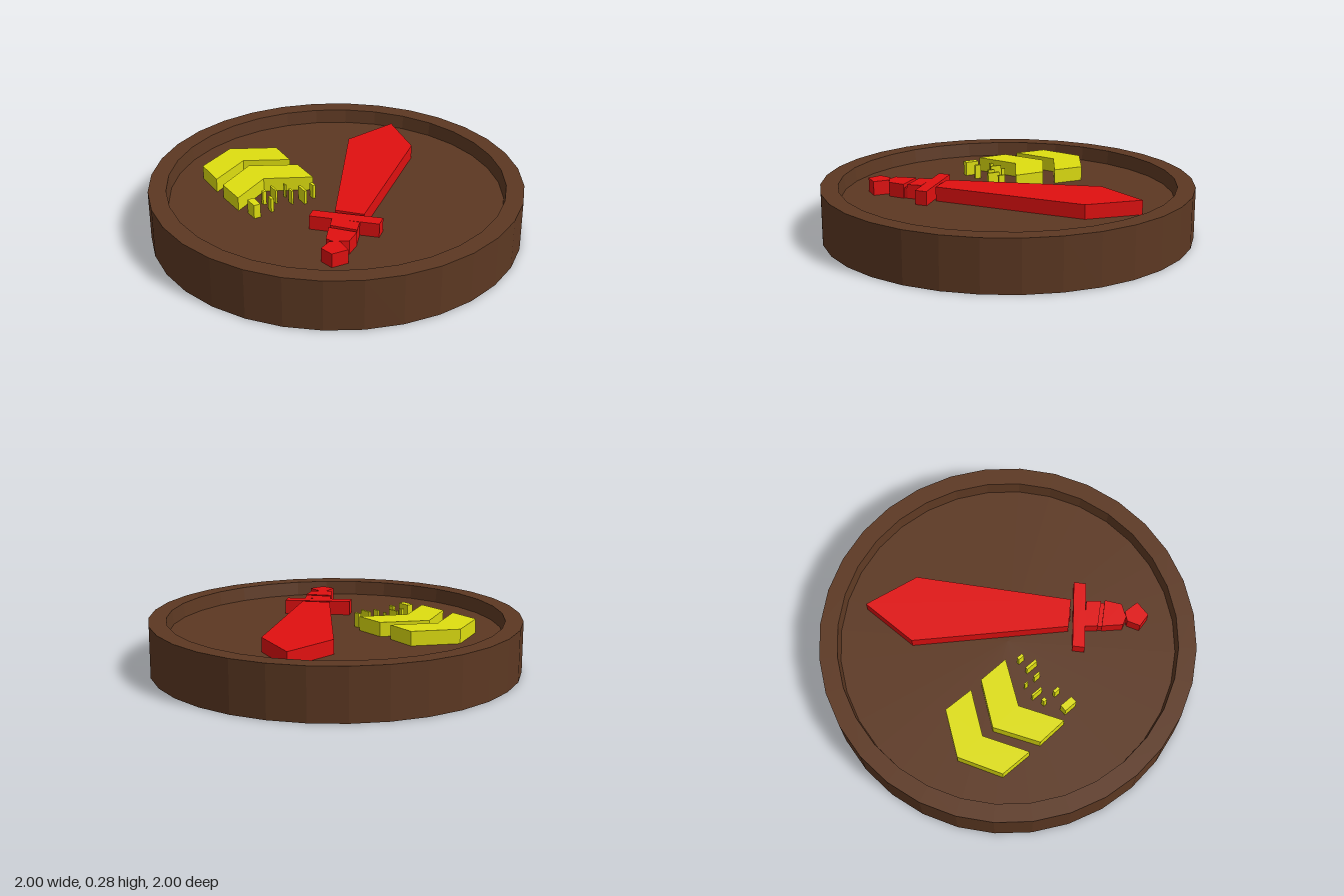
import * as THREE from 'three';

const H = 0.277;      // full height of token and emblems
const FLOOR = 0.077;  // recess depth on each face

const mat = (color) => new THREE.MeshStandardMaterial({ color, flatShading: true });

// points are [x, z] as seen from above
const toVecs = (pts) => pts.map(([x, z]) => new THREE.Vector2(x, -z));

function plate(name, pts, material, y0 = 0, y1 = H, hole = null) {
  const shape = new THREE.Shape(toVecs(pts));
  if (hole) shape.holes.push(new THREE.Path(toVecs(hole)));
  const geo = new THREE.ExtrudeGeometry(shape, { depth: y1 - y0, bevelEnabled: false });
  geo.rotateX(-Math.PI / 2);
  geo.translate(0, y0, 0);
  const mesh = new THREE.Mesh(geo, material);
  mesh.name = name;
  return mesh;
}

export function createModel() {
  const model = new THREE.Group();
  model.name = 'token';
  const brown = mat(0x5c3822), red = mat(0xe01010), yellow = mat(0xdede10);

  // disc recessed on both faces
  const profile = [
    [0, FLOOR], [0.895, FLOOR], [0.905, 0], [1, 0],
    [1, H], [0.905, H], [0.895, H - FLOOR], [0, H - FLOOR],
  ].map(([r, y]) => new THREE.Vector2(r, y));
  const disc = new THREE.Mesh(new THREE.LatheGeometry(profile, 32), brown);
  disc.name = 'disc';
  model.add(disc);

  // sword, passing through the disc to show on both faces
  const sword = new THREE.Group();
  sword.name = 'sword';
  const fuller = [[0.41, -0.22], [0.37, -0.2], [-0.135, 0.325], [-0.105, 0.355], [0.405, -0.195]];
  sword.add(
    plate('blade', [[0.636, -0.452], [0.315, -0.4], [-0.17, 0.28], [-0.064, 0.393], [0.578, -0.147]], red, 0, H, fuller),
    plate('fuller', fuller, red, 0.03, H - 0.03),
    plate('guard', [[-0.267, 0.222], [-0.315, 0.265], [-0.05, 0.516], [0, 0.473]], red),
    plate('upperGrip', [[-0.225, 0.345], [-0.27, 0.4], [-0.176, 0.51], [-0.125, 0.45]], red),
    plate('gripGroove', [[-0.265, 0.4], [-0.29, 0.425], [-0.2, 0.525], [-0.175, 0.505]], red, 0.02, H - 0.02),
    plate('lowerGrip', [[-0.285, 0.415], [-0.353, 0.505], [-0.332, 0.548], [-0.262, 0.58], [-0.187, 0.527]], red),
    plate('pommel', [[-0.417, 0.57], [-0.353, 0.537], [-0.305, 0.564], [-0.31, 0.65], [-0.4, 0.645]], red),
  );
  model.add(sword);

  // two stacked chevrons
  const chevrons = new THREE.Group();
  chevrons.name = 'chevrons';
  chevrons.add(
    plate('upperChevron', [[-0.548, -0.51], [-0.328, -0.628], [-0.095, -0.51], [-0.1, -0.34], [-0.328, -0.457], [-0.55, -0.33]], yellow),
    plate('lowerChevron', [[-0.548, -0.255], [-0.328, -0.388], [-0.092, -0.265], [-0.09, -0.094], [-0.328, -0.211], [-0.542, -0.085]], yellow),
  );
  model.add(chevrons);

  // small posts below the chevrons: x0, x1, z0, z1
  const posts = new THREE.Group();
  posts.name = 'posts';
  [
    [-0.508, -0.47, -0.045, 0.03], [-0.4, -0.38, -0.098, -0.078],
    [-0.4, -0.384, -0.022, 0.013], [-0.337, -0.326, -0.12, -0.056],
    [-0.263, -0.256, -0.11, -0.088], [-0.267, -0.256, -0.045, -0.008],
    [-0.208, -0.193, -0.045, 0.024], [-0.139, -0.123, -0.043, -0.008],
  ].forEach(([x0, x1, z0, z1]) => {
    const post = new THREE.Mesh(new THREE.BoxGeometry(x1 - x0, H, z1 - z0), yellow);
    post.position.set((x0 + x1) / 2, H / 2, (z0 + z1) / 2);
    post.name = 'post';
    posts.add(post);
  });
  model.add(posts);

  return model;
}
